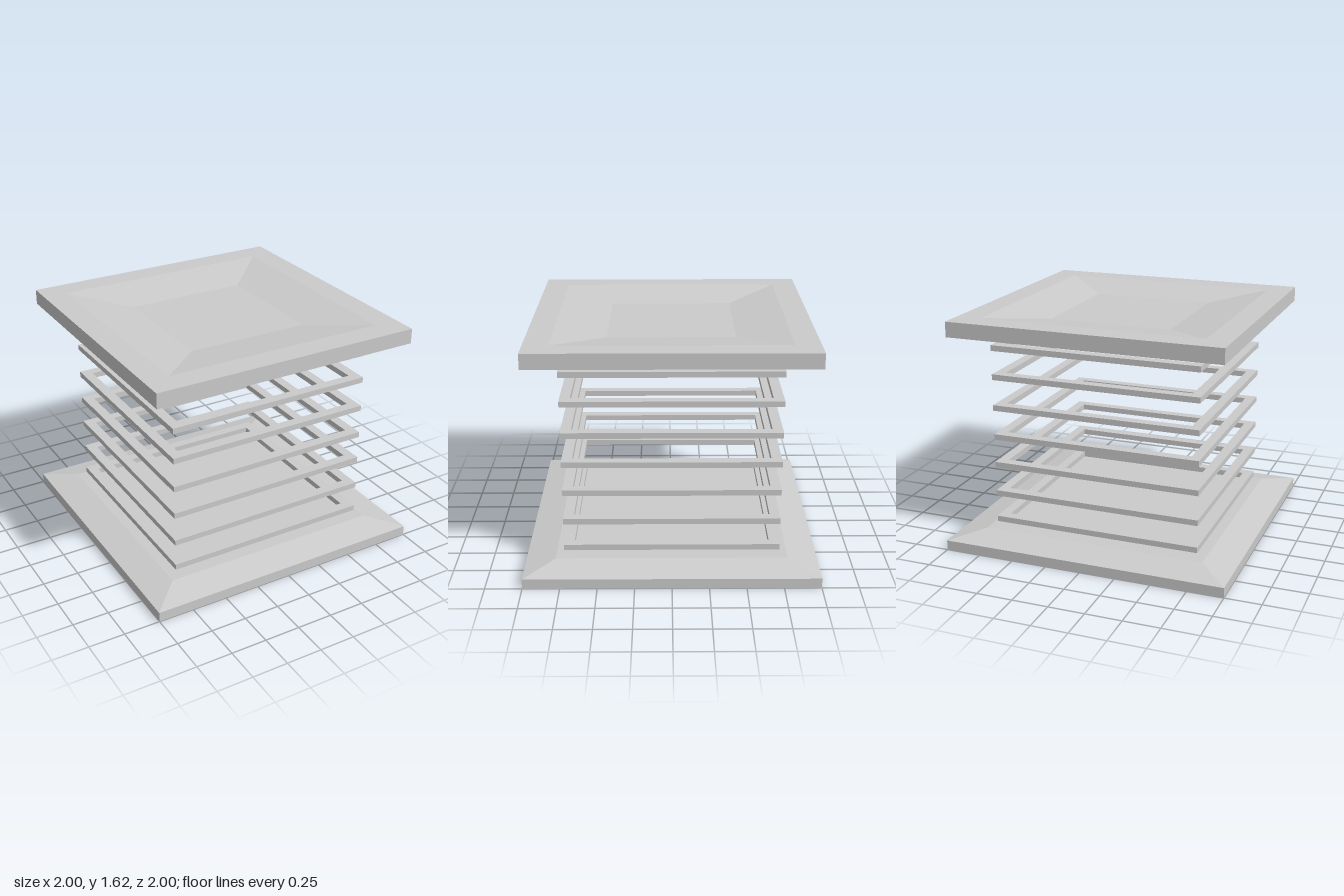
import * as THREE from 'three';

const material = new THREE.MeshStandardMaterial({ color: 0xcccccc, flatShading: true });

// Square solid from a profile of [half width, height], listed bottom to top on the outside
function squareSolid(name, profile) {
  const points = profile.map(([half, y]) => new THREE.Vector2(half * Math.SQRT2, y));
  const geometry = new THREE.LatheGeometry(points, 4, Math.PI / 4).toNonIndexed();
  geometry.computeVertexNormals();
  const mesh = new THREE.Mesh(geometry, material);
  mesh.name = name;
  return mesh;
}

export function createModel() {
  const model = new THREE.Group();
  model.name = 'tieredLantern';

  // Base plate with sloping shoulders
  model.add(squareSolid('basePlate', [
    [0, 0], [1, 0], [1, 0.07], [0.79, 0.115], [0, 0.115],
  ]));

  // Stack of floating square frames
  const outer = 0.737, inner = 0.667, h = 0.02;
  const rings = new THREE.Group();
  rings.name = 'frames';
  [0.17, 0.365, 0.577, 0.781, 0.991, 1.21, 1.414].forEach((y, i) => {
    const ring = squareSolid(`frame${i + 1}`, [
      [inner, -h], [outer, -h], [outer, h], [inner, h], [inner, -h],
    ]);
    ring.position.y = y;
    rings.add(ring);
  });
  model.add(rings);

  // Top plate: bevelled underneath, shallow dish on top
  model.add(squareSolid('topPlate', [
    [0, 1.47], [0.745, 1.47], [0.95, 1.52], [0.95, 1.625],
    [0.78, 1.625], [0.43, 1.572], [0, 1.572],
  ]));

  return model;
}
